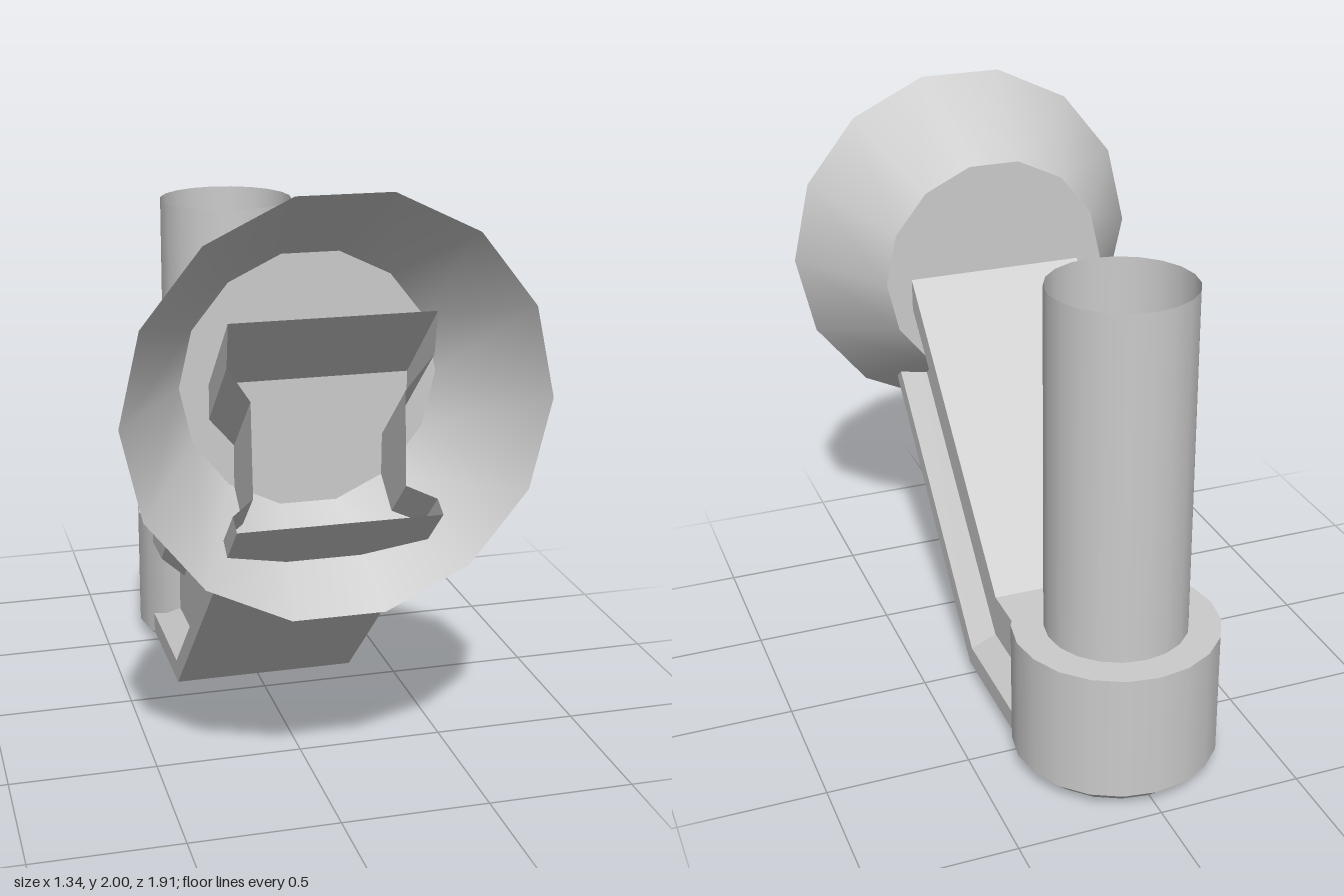
import * as THREE from 'three';

const mat = new THREE.MeshStandardMaterial({ color: 0xcccccc, side: THREE.DoubleSide });
const flat = new THREE.MeshStandardMaterial({ color: 0xcccccc, side: THREE.DoubleSide, flatShading: true });

function add(parent, name, geometry, x, y, z, material = mat) {
  const mesh = new THREE.Mesh(geometry, material);
  mesh.name = name;
  mesh.position.set(x, y, z);
  parent.add(mesh);
  return mesh;
}

// Bent I-beam: six profile levels from bottom to top, mirrored across x,
// swept through three stations given as [z, y] per level.
function beamGeometry() {
  const halfWidth = [0.325, 0.325, 0.245, 0.245, 0.325, 0.325];
  const bend = [[-0.005, 0.053], [-0.03, 0.127], [-0.065, 0.19], [-0.26, 0.36], [-0.29, 0.425], [-0.305, 0.5]];
  const end = [[0.955, 0.998], [0.9, 1.03], [0.83, 1.055], [0.8, 1.355], [0.83, 1.475], [0.85, 1.615]];
  const root = bend.map(([, y]) => [-0.6, y]);
  const positions = [], index = [];
  for (const station of [root, bend, end]) {
    for (let i = 0; i < 6; i++) positions.push(halfWidth[i], station[i][1], station[i][0]);
    for (let i = 5; i >= 0; i--) positions.push(-halfWidth[i], station[i][1], station[i][0]);
  }
  for (let s = 0; s < 2; s++) {
    for (let i = 0; i < 12; i++) {
      const a = s * 12 + i, b = s * 12 + (i + 1) % 12;
      index.push(a, b, b + 12, a, b + 12, a + 12);
    }
  }
  const g = new THREE.BufferGeometry();
  g.setAttribute('position', new THREE.Float32BufferAttribute(positions, 3));
  g.setIndex(index);
  const out = g.toNonIndexed();
  out.computeVertexNormals();
  return out;
}

export function createModel() {
  const model = new THREE.Group();
  model.name = 'bracketWithCup';

  // Upright socket: chamfered foot, collar and open tube
  const socket = new THREE.Group();
  socket.name = 'socket';
  socket.position.z = -0.6;
  model.add(socket);
  add(socket, 'foot', new THREE.CylinderGeometry(0.355, 0.3, 0.05, 20, 1, true), 0, 0.025, 0);
  add(socket, 'footBase', new THREE.CircleGeometry(0.3, 20).rotateX(Math.PI / 2), 0, 0, 0);
  add(socket, 'collar', new THREE.CylinderGeometry(0.355, 0.355, 0.45, 20, 1, true), 0, 0.275, 0);
  add(socket, 'collarTop', new THREE.CircleGeometry(0.355, 20).rotateX(-Math.PI / 2), 0, 0.5, 0);
  add(socket, 'tube', new THREE.CylinderGeometry(0.245, 0.245, 1.215, 20, 1, true), 0, 1.1075, 0);

  // Sloping arm with recessed sides, open at the front
  add(model, 'arm', beamGeometry(), 0, 0, 0, flat);

  // Flared cup, open to the front and closed at the back
  const cup = new THREE.Group();
  cup.name = 'cup';
  cup.position.y = 1.345;
  model.add(cup);
  const flare = new THREE.CylinderGeometry(0.672, 0.42, 0.37, 14, 1, true, Math.PI / 2).rotateX(Math.PI / 2);
  add(cup, 'cupFlare', flare, 0, 0, 0.762);
  add(cup, 'cupBack', new THREE.CircleGeometry(0.42, 14).rotateY(Math.PI), 0, 0, 0.577);

  return model;
}
